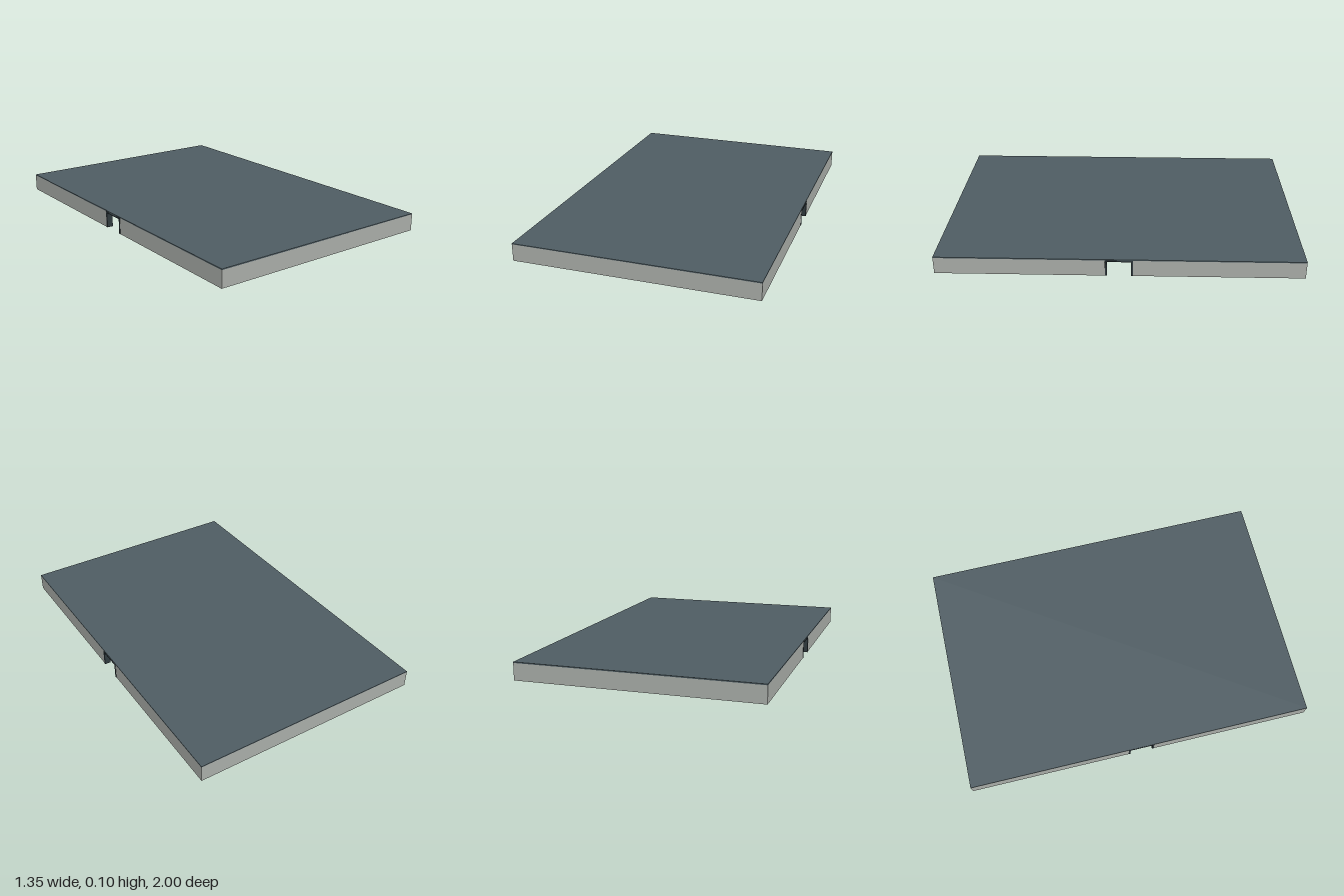
import * as THREE from 'three';

const mat = (name, color) => Object.assign(new THREE.MeshStandardMaterial({ color }), { name });

export function createModel() {
  const slate = mat('slate roof', 0x4e5c62);
  const pale = mat('pale grey wall', 0xa8aca7);
  const blue = mat('blue grey panel', 0x5b6d77);
  const dark = mat('dark trim', 0x2f393d);
  const brown = mat('brown grille', 0x5f5750);
  const model = new THREE.Group();
  model.name = 'roofedBuilding';

  const box = (parent, name, m, w, h, d, x, y, z) => {
    const mesh = new THREE.Mesh(new THREE.BoxGeometry(w, h, d), m);
    mesh.name = name;
    mesh.position.set(x, y, z);
    parent.add(mesh);
    return mesh;
  };

  // Upright plate between two floor points
  const wall = (parent, name, m, x1, z1, x2, z2, y0 = 0, y1 = 0.094, t = 0.008) => {
    const mesh = box(parent, name, m, Math.hypot(x2 - x1, z2 - z1), y1 - y0, t,
      (x1 + x2) / 2, (y0 + y1) / 2, (z1 + z2) / 2);
    mesh.rotation.y = -Math.atan2(z2 - z1, x2 - x1);
    return mesh;
  };

  // Roof plate and outer walls
  box(model, 'roof', slate, 1.346, 0.006, 2, 0, 0.097, 0);
  for (const s of [1, -1]) {
    box(model, 'endWall', pale, 1.346, 0.095, 0.008, 0, 0.0475, s * 0.996);
    for (const e of [1, -1]) {
      box(model, 'sideWall', pale, 0.008, 0.095, 0.92, s * 0.669, 0.0475, e * 0.536);
      box(model, 'doorPost', dark, 0.035, 0.088, 0.01, s * 0.657, 0.044, e * 0.07);
    }
    box(model, 'doorLintel', dark, 0.035, 0.008, 0.15, s * 0.657, 0.09, 0);
  }

  // Ceiling grille made of a frame and slats
  const grille = (parent, x, z) => {
    const g = new THREE.Group();
    g.name = 'ceilingGrille';
    g.position.set(x, 0.088, z);
    for (let i = 0; i < 6; i++) box(g, 'slat', brown, 0.15, 0.008, 0.009, 0, 0, -0.05 + i * 0.02);
    for (const s of [1, -1]) box(g, 'frameBar', dark, 0.008, 0.012, 0.13, s * 0.078, 0, 0);
    parent.add(g);
  };

  // Two matching rooms at the back, each with one cut corner and a doorway
  for (const x0 of [0.1, -0.5]) {
    const room = new THREE.Group();
    room.name = 'backRoom';
    room.position.x = x0;
    wall(room, 'outerSideWall', pale, 0.45, -0.14, 0.45, -0.67);
    wall(room, 'cutCorner', blue, 0.45, -0.67, 0.36, -0.75);
    wall(room, 'backWall', pale, 0.36, -0.75, 0.05, -0.75);
    wall(room, 'smallCorner', pale, 0.05, -0.75, 0, -0.71);
    wall(room, 'innerSideWall', pale, 0, -0.71, 0, -0.13);
    wall(room, 'doorSidePanel', blue, 0, -0.12, 0.15, -0.12);
    wall(room, 'doorHeader', dark, 0.15, -0.12, 0.45, -0.12, 0.08);
    wall(room, 'sideBeam', blue, 0.35, -0.2, 0.35, -0.5, 0.07, 0.094, 0.014);
    wall(room, 'backBeam', blue, 0.05, -0.58, 0.28, -0.58, 0.07, 0.094, 0.014);
    grille(room, 0.17, -0.36);
    model.add(room);
  }

  // Front room with a barred outer side
  const barred = new THREE.Group();
  barred.name = 'barredRoom';
  wall(barred, 'sideWall', pale, -0.05, 0.16, -0.05, 0.72);
  wall(barred, 'corridorWall', pale, -0.05, 0.16, -0.46, 0.14);
  wall(barred, 'cornerWall', pale, -0.46, 0.14, -0.51, 0.18);
  wall(barred, 'farSideWall', pale, -0.51, 0.18, -0.51, 0.74);
  for (let i = 0; i < 15; i++) box(barred, 'bar', brown, 0.006, 0.09, 0.006, -0.06 - i * 0.0315, 0.048, 0.73);
  for (let i = 0; i < 5; i++) box(barred, 'rail', brown, 0.45, 0.006, 0.008, -0.28, 0.008 + i * 0.02, 0.73);
  wall(barred, 'ceilingBeam', dark, -0.14, 0.3, -0.4, 0.3, 0.075, 0.094, 0.014);
  grille(barred, -0.27, 0.46);
  model.add(barred);

  // Open front room with angled panels
  const open = new THREE.Group();
  open.name = 'openRoom';
  wall(open, 'sideWall', blue, 0.06, 0.29, 0.06, 0.77, 0.03);
  wall(open, 'angledPanel', blue, 0.06, 0.22, 0.17, 0.3, 0.03);
  wall(open, 'cutCorner', dark, 0.06, 0.77, 0.18, 0.86, 0.06);
  wall(open, 'frontBeam', dark, 0.18, 0.86, 0.54, 0.86, 0.06);
  wall(open, 'outerBeam', dark, 0.54, 0.86, 0.54, 0.7, 0.075);
  wall(open, 'ceilingBeam', dark, 0.16, 0.68, 0.4, 0.68, 0.07, 0.094, 0.014);
  wall(open, 'sideCeilingBeam', dark, 0.44, 0.35, 0.44, 0.62, 0.08, 0.094, 0.014);
  grille(open, 0.33, 0.52);
  model.add(open);

  return model;
}
